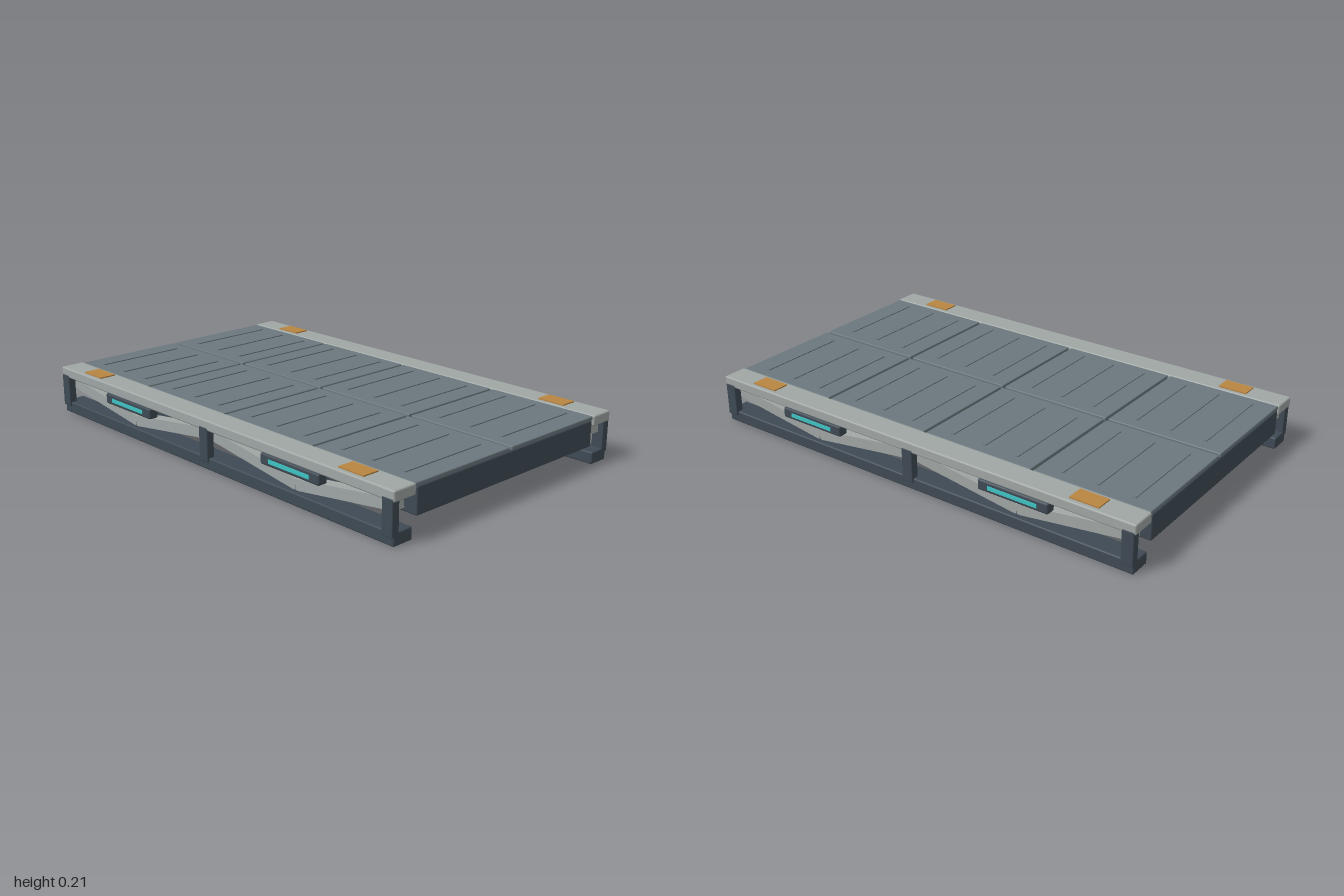
import * as THREE from 'three';
import { RoundedBoxGeometry } from 'three/addons/geometries/RoundedBoxGeometry.js';

const material = (name, color) => {
  const m = new THREE.MeshStandardMaterial({ color });
  m.name = name;
  return m;
};

export function createModel() {
  const dark = material('dark steel', 0x3f4a54);
  const deckGrey = material('deck grey', 0x6b787d);
  const railGrey = material('rail grey', 0xa0a7a5);
  const amber = material('amber', 0xb98541);
  const cyan = material('cyan', 0x3fc4c4);

  const model = new THREE.Group();
  model.name = 'deckSection';

  // Box given by its extents, with softened edges when r > 0
  function block(parent, name, mat, [x0, x1], [y0, y1], [z0, z1], r = 0) {
    const size = [x1 - x0, y1 - y0, z1 - z0];
    const geo = r > 0 ? new RoundedBoxGeometry(...size, 2, r) : new THREE.BoxGeometry(...size);
    const mesh = new THREE.Mesh(geo, mat);
    mesh.name = name;
    mesh.position.set((x0 + x1) / 2, (y0 + y1) / 2, (z0 + z1) / 2);
    parent.add(mesh);
    return mesh;
  }

  // Central slab under the walking surface
  block(model, 'deckCore', dark, [-0.497, 0.497], [0.08, 0.187], [-0.997, 0.997], 0.006);

  // Two columns of four panels, each with three raised grip ribs
  for (const side of [-1, 1]) {
    for (const cz of [-0.75, -0.25, 0.25, 0.75]) {
      const cx = side * 0.256;
      block(model, 'deckPanel', deckGrey, [cx - 0.249, cx + 0.249], [0.184, 0.201],
        [cz - 0.244, cz + 0.244], 0.004);
      for (const dz of [-0.15, 0, 0.15]) {
        const rx = side * 0.26;
        block(model, 'gripRib', deckGrey, [rx - 0.198, rx + 0.198], [0.198, 0.205],
          [cz + dz - 0.007, cz + dz + 0.007]);
      }
    }
  }

  // Side trusses
  for (const side of [-1, 1]) {
    const truss = new THREE.Group();
    truss.name = side > 0 ? 'leftTruss' : 'rightTruss';
    model.add(truss);
    const span = (a, b) => (side > 0 ? [a, b] : [-b, -a]);

    block(truss, 'topRail', railGrey, span(0.505, 0.612), [0.16, 0.203], [-1, 1], 0.007);
    block(truss, 'bottomRail', dark, span(0.515, 0.606), [0, 0.05], [-0.995, 0.995], 0.006);
    for (const z of [-0.97, 0, 0.97]) {
      block(truss, 'post', dark, span(0.58, 0.614), [0.033, 0.172], [z - 0.025, z + 0.025], 0.004);
    }

    // Diagonal braces forming a W
    const nodes = [[-0.97, 0.137], [-0.49, 0.07], [0, 0.137], [0.49, 0.07], [0.97, 0.137]];
    for (let i = 0; i < 4; i++) {
      const [za, ya] = nodes[i];
      const [zb, yb] = nodes[i + 1];
      const len = Math.hypot(zb - za, yb - ya);
      const brace = block(truss, 'brace', railGrey, span(0.533, 0.582), [-0.022, 0.022], [0, len]);
      brace.position.y = (ya + yb) / 2;
      brace.position.z = (za + zb) / 2;
      brace.rotation.x = -Math.atan2(yb - ya, zb - za);
    }

    // Side lamps and corner markers
    for (const end of [-1, 1]) {
      const z = end * 0.495;
      block(truss, 'lampHousing', dark, span(0.575, 0.619), [0.118, 0.163], [z - 0.155, z + 0.155], 0.008);
      block(truss, 'lampStrip', cyan, span(0.615, 0.622), [0.132, 0.148], [z - 0.107, z + 0.107]);
      const mz = end * 0.782;
      block(truss, 'cornerMarker', amber, span(0.523, 0.594), [0.2, 0.208], [mz - 0.061, mz + 0.061]);
    }
  }
  return model;
}
